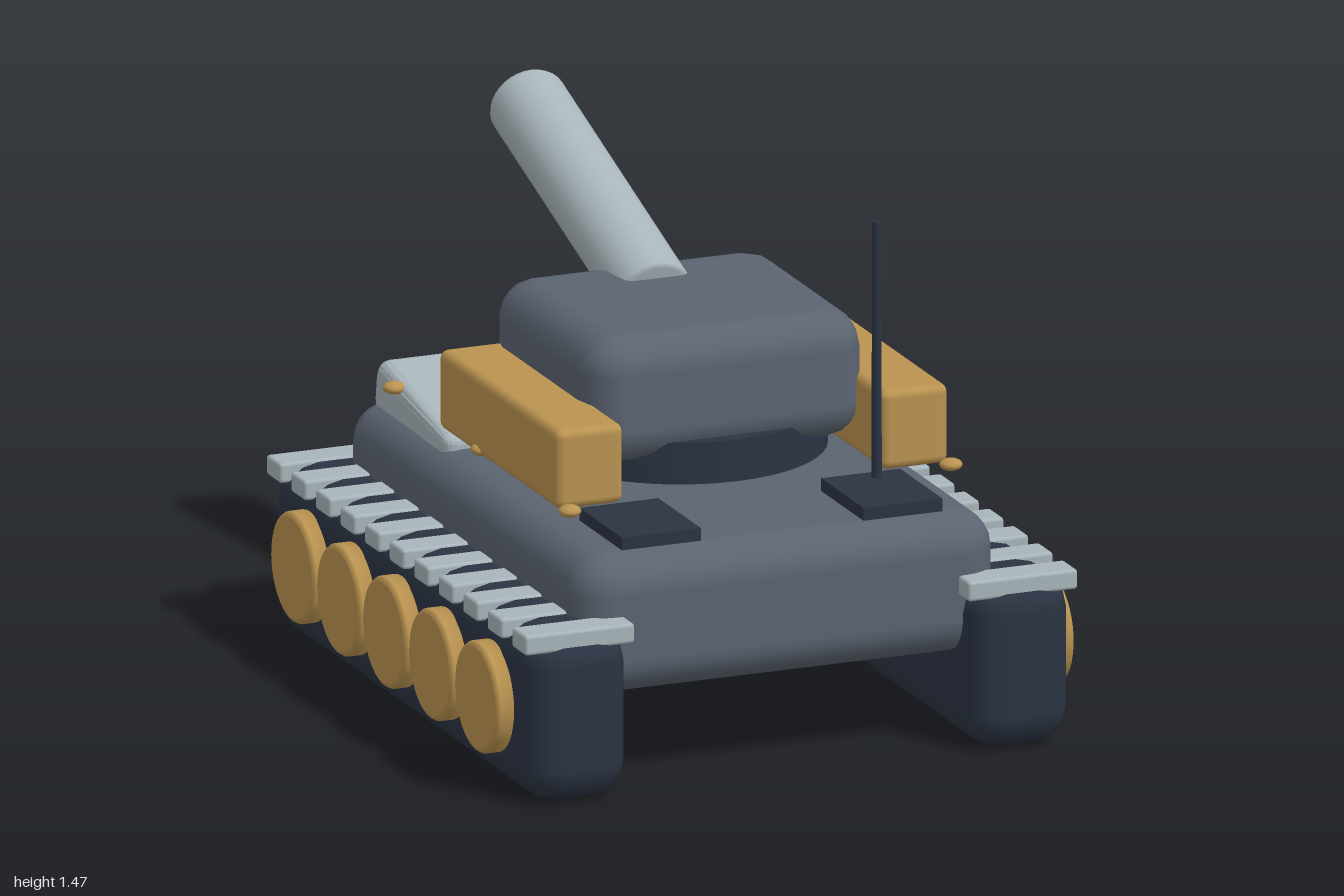
import * as THREE from 'three';
import { RoundedBoxGeometry } from 'three/addons/geometries/RoundedBoxGeometry.js';

const material = (name, color) => {
  const m = new THREE.MeshStandardMaterial({ color });
  m.name = name;
  return m;
};

export function createModel() {
  const model = new THREE.Group();
  model.name = 'tank';

  const slate = material('slate armour', 0x5b6471);
  const dark = material('dark rubber', 0x2b3443);
  const pale = material('pale steel', 0xa8b5ba);
  const tan = material('tan', 0xba9350);
  const teal = material('teal', 0x2cb8b2);

  const add = (name, geometry, mat, x, y, z) => {
    const mesh = new THREE.Mesh(geometry, mat);
    mesh.name = name;
    mesh.position.set(x, y, z);
    model.add(mesh);
    return mesh;
  };

  // Rounded box given by its limits on each axis
  const block = (name, mat, [x0, x1], [y0, y1], [z0, z1], radius, segments = 2) =>
    add(name, new RoundedBoxGeometry(x1 - x0, y1 - y0, z1 - z0, segments, radius), mat,
      (x0 + x1) / 2, (y0 + y1) / 2, (z0 + z1) / 2);

  // Hull
  block('hull', slate, [-0.62, 0.62], [0.255, 0.655], [-0.787, 0.91], 0.11, 3);

  // Engine deck: its top climbs towards the rear
  const deck = block('engineDeck', pale, [-0.555, 0.555], [0.615, 0.735], [-0.73, -0.2], 0.035);
  const p = deck.geometry.attributes.position;
  for (let i = 0; i < p.count; i++) {
    const up = p.getY(i) / 0.12 + 0.5;
    const back = 0.5 - p.getZ(i) / 0.53;
    p.setY(i, p.getY(i) + up * (back * 0.09 - 0.045));
    p.setZ(i, p.getZ(i) + up * back * 0.025);
  }
  deck.geometry.computeVertexNormals();

  // Turret and its ring
  add('turretRing', new THREE.CylinderGeometry(0.402, 0.402, 0.118, 48), dark, 0, 0.767, 0.118);
  block('turret', slate, [-0.41, 0.41], [0.765, 1.128], [-0.255, 0.485], 0.105);

  // Barrel, rising towards the rear
  const bore = [[0, 0], [0.1, 0], [0.11, 0.012], [0.11, 0.948], [0.11, 0.948], [0.104, 0.96], [0.104, 0.96], [0, 0.96]]
    .map(([r, y]) => new THREE.Vector2(r, y));
  const barrel = add('barrel', new THREE.LatheGeometry(bore, 32), pale, 0, 1.064, -0.053);
  barrel.rotation.x = -(Math.PI / 2 - 0.32);

  // Whip antenna
  add('antenna', new THREE.CylinderGeometry(0.013, 0.014, 0.725, 12), dark, 0.363, 1.0725, 0.635);

  // Wheel disc with a softened rim, axis along y
  const rim = [[0, -0.03], [0.155, -0.03], [0.155, 0.038], [0.15, 0.046], [0.141, 0.05], [0.141, 0.05], [0, 0.05]]
    .map(([r, y]) => new THREE.Vector2(r, y));
  const wheelGeometry = new THREE.LatheGeometry(rim, 40);
  const studGeometry = new THREE.SphereGeometry(0.032, 16, 10).scale(1, 0.53, 1);

  for (const [side, s] of [['left', 1], ['right', -1]]) {
    const span = (a, b) => (s > 0 ? [a, b] : [-b, -a]);

    // Track with wheels and links
    block(side + 'Track', dark, span(0.5, 0.8), [0, 0.485], [-0.87, 1], 0.1);
    for (let i = 0; i < 5; i++) {
      const wheel = add(side + 'Wheel' + (i + 1), wheelGeometry, tan, s * 0.8, 0.25, 0.714 - i * 0.324);
      wheel.rotation.z = -s * Math.PI / 2;
    }
    for (let i = 0; i < 11; i++) {
      const z = 0.928 - i * 0.173;
      block(side + 'TrackLink' + (i + 1), pale, span(0.49, 0.812), [0.435, 0.492], [z - 0.05, z + 0.05], 0.01);
    }

    // Stowage box, studs, hatch and tail light
    block(side + 'StowageBox', tan, span(0.378, 0.577), [0.722, 0.948], [-0.205, 0.635], 0.025);
    for (let i = 0; i < 3; i++) {
      add(side + 'Stud' + (i + 1), studGeometry, tan, s * 0.56, 0.737, 0.685 - i * 0.618);
    }
    add(side + 'Hatch', new THREE.BoxGeometry(0.232, 0.036, 0.3), dark, s * 0.355, 0.676, 0.69);
    add(side + 'TailLight', new THREE.BoxGeometry(0.14, 0.04, 0.03), teal, s * 0.435, 0.51, -0.795);
  }
  return model;
}
